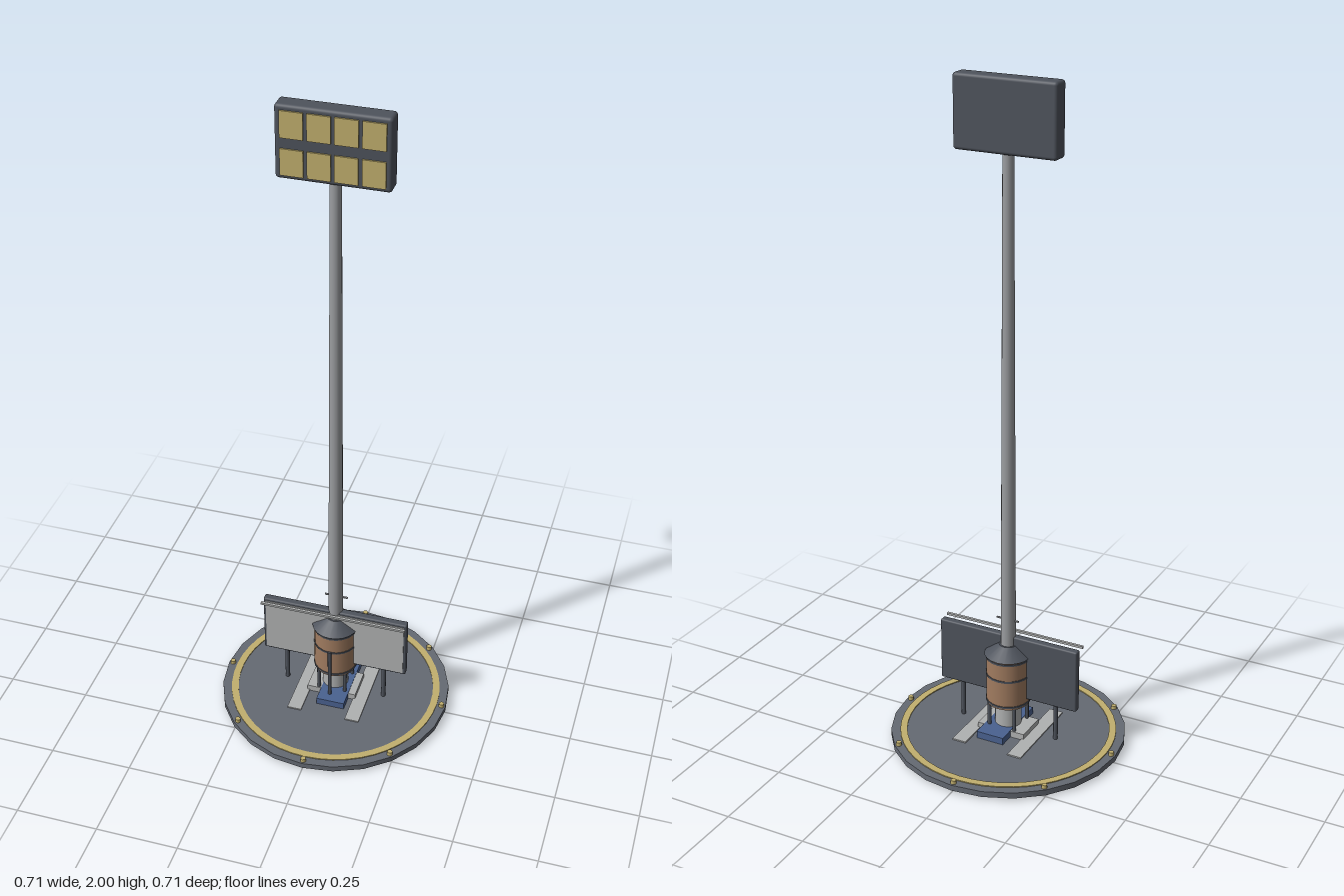
import * as THREE from 'three';
import { RoundedBoxGeometry } from 'three/addons/geometries/RoundedBoxGeometry.js';

const mat = (name, color, extra = {}) => {
  const m = new THREE.MeshStandardMaterial({ color, ...extra });
  m.name = name;
  return m;
};

export function createModel() {
  const deck = mat('deck grey', 0x656a73);
  const dark = mat('dark steel', 0x4e535c);
  const yellow = mat('marking yellow', 0xc2b06e);
  const pale = mat('pale grey', 0xb0b2b2);
  const steel = mat('pole steel', 0x9c9ea1);
  const brown = mat('tank brown', 0xa17c60);
  const blue = mat('blue', 0x4a6290);

  const model = new THREE.Group();
  model.name = 'floodlightPad';
  const add = (name, geometry, material, x = 0, y = 0, z = 0) => {
    const mesh = new THREE.Mesh(geometry, material);
    mesh.name = name;
    mesh.position.set(x, y, z);
    model.add(mesh);
    return mesh;
  };
  const box = (name, w, h, d, material, x, y, z) =>
    add(name, new THREE.BoxGeometry(w, h, d), material, x, y, z);
  // Cylinder given by its bottom and top heights
  const cyl = (name, rBottom, rTop, y0, y1, sides, material, x = 0, z = 0) =>
    add(name, new THREE.CylinderGeometry(rTop, rBottom, y1 - y0, sides), material, x, (y0 + y1) / 2, z);

  // Landing pad with a yellow ring and edge lamps
  cyl('padDisc', 0.356, 0.356, 0.006, 0.024, 24, deck);
  const ringShape = new THREE.Shape().absarc(0, 0, 0.328, 0, Math.PI * 2);
  ringShape.holes.push(new THREE.Path().absarc(0, 0, 0.307, 0, Math.PI * 2, true));
  const ring = new THREE.ExtrudeGeometry(ringShape, { depth: 0.004, bevelEnabled: false, curveSegments: 24 });
  ring.rotateX(-Math.PI / 2);
  add('padRing', ring, yellow, 0, 0.023, 0);
  for (let i = 0; i < 8; i++) {
    const a = (i * Math.PI) / 4;
    cyl('edgeLamp', 0.009, 0.008, 0.023, 0.035, 8, yellow, Math.sin(a) * 0.343, Math.cos(a) * 0.343);
  }

  // Pad bars, base block and blue floor slab
  for (const s of [-1, 1]) box('padBar', 0.044, 0.005, 0.286, pale, s * 0.0925, 0.0255, 0);
  box('padCrossBar', 0.141, 0.005, 0.044, pale, 0, 0.0255, 0);
  box('baseBlock', 0.155, 0.044, 0.1, pale, 0, 0.022, 0);
  box('blueSlab', 0.088, 0.022, 0.2, blue, 0.011, 0.035, 0);

  // Tank on its stand
  cyl('tankStand', 0.04, 0.04, 0.04, 0.122, 16, pale);
  for (const sx of [-1, 1]) {
    for (const sz of [-1, 1]) {
      cyl('standLeg', 0.006, 0.006, 0.03, 0.122, 8, dark, sx * 0.042, sz * 0.042);
    }
  }
  cyl('tank', 0.066, 0.066, 0.12, 0.28, 20, brown);
  for (const y of [0.128, 0.215, 0.272]) cyl('tankBand', 0.068, 0.068, y - 0.003, y + 0.003, 20, dark);
  cyl('tankRoof', 0.072, 0.028, 0.28, 0.312, 20, dark);
  cyl('tankPipe', 0.006, 0.006, 0.024, 0.22, 8, dark, 0, 0.067);

  // Sign board on two posts, with a rail ahead of its top edge
  add('board', new RoundedBoxGeometry(0.456, 0.2, 0.024, 2, 0.005), dark, 0, 0.24, 0.005);
  box('boardFace', 0.44, 0.184, 0.004, pale, 0, 0.24, 0.0175);
  box('boardRail', 0.456, 0.007, 0.008, pale, 0, 0.338, 0.038);
  for (const s of [-1, 1]) cyl('boardPost', 0.007, 0.007, 0.02, 0.145, 10, dark, s * 0.157, 0.005);

  // Tapered pole with a thin cross bar
  cyl('pole', 0.024, 0.016, 0.03, 1.8, 16, steel);
  box('poleCrossBar', 0.072, 0.004, 0.005, steel, 0.002, 0.392, 0);

  // Floodlight head with two rows of lamps
  add('lightHead', new RoundedBoxGeometry(0.312, 0.207, 0.054, 3, 0.01), dark, 0, 1.8965, 0);
  for (let i = 0; i < 4; i++) {
    for (const y of [1.948, 1.843]) {
      box('lamp', 0.063, 0.075, 0.008, yellow, (i - 1.5) * 0.073, y, 0.0275);
    }
  }
  return model;
}
